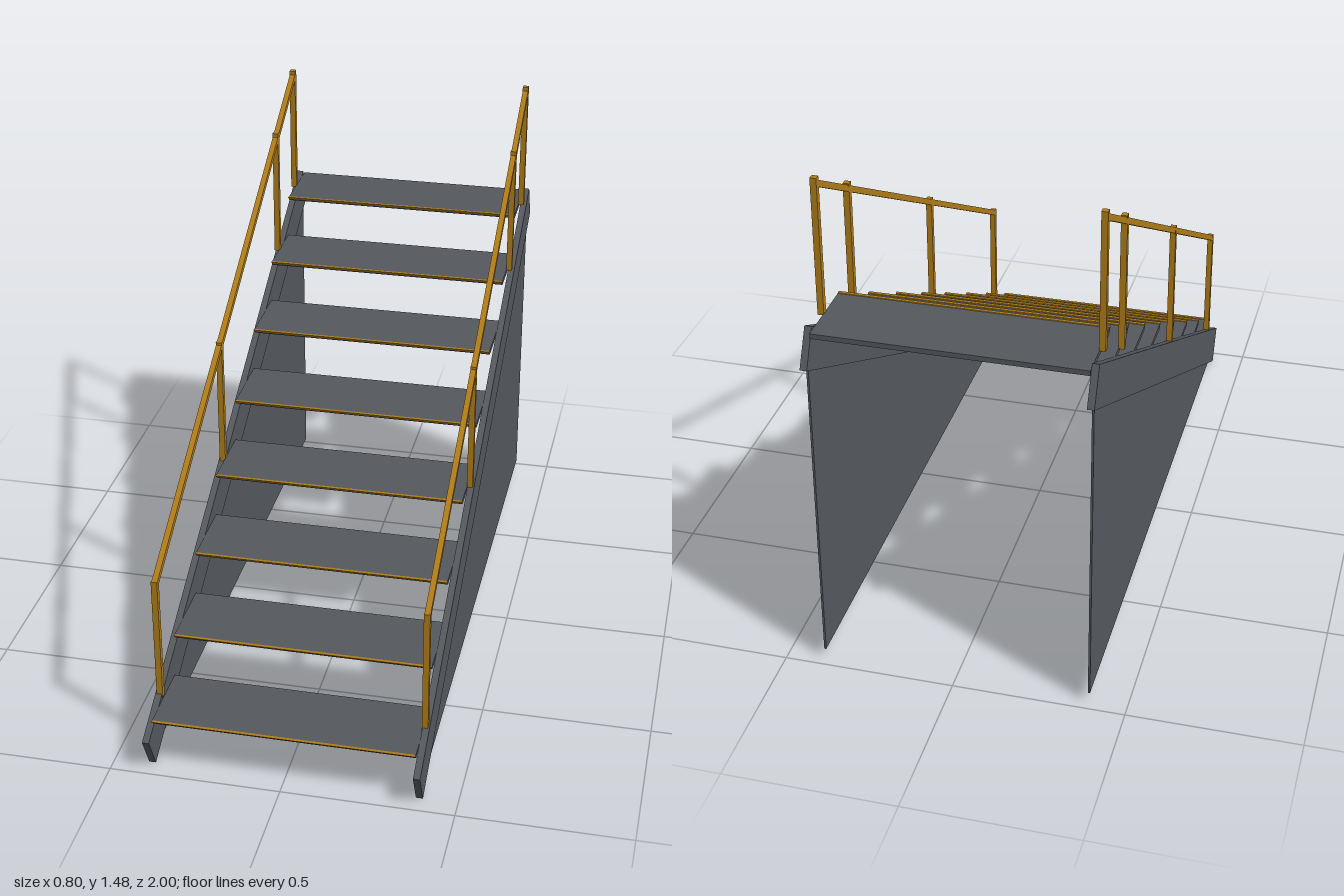
import * as THREE from 'three';

export function createModel() {
  const root = new THREE.Group();
  root.name = 'staircase';
  const steel = new THREE.MeshStandardMaterial({ color: 0x55595e });
  const yellow = new THREE.MeshStandardMaterial({ color: 0xb07d1a });

  const add = (name, geometry, material, x, y, z, parent) => {
    const mesh = new THREE.Mesh(geometry, material);
    mesh.name = name;
    mesh.position.set(x, y, z);
    parent.add(mesh);
    return mesh;
  };
  const box = (name, w, h, d, material, x, y, z, parent) =>
    add(name, new THREE.BoxGeometry(w, h, d), material, x, y, z, parent);

  // Extrudes a (z, y) outline along x, centred on x = 0
  const extrudeAcross = (points, width) => {
    const shape = new THREE.Shape(points.map(([z, y]) => new THREE.Vector2(-z, y)));
    const geometry = new THREE.ExtrudeGeometry(shape, { depth: width, bevelEnabled: false });
    return geometry.translate(0, 0, -width / 2).rotateY(Math.PI / 2);
  };

  // Treads with a bevelled front edge and a yellow nosing
  const steps = 8, run = 0.2425, rise = 0.1317, depth = 0.235, width = 0.76;
  const treadShape = [[0, 0], [-0.016, -0.015], [-depth, -0.015], [-depth, 0]];
  const nosingShape = [[0.002, 0.002], [-0.007, -0.007], [-0.012, -0.007], [-0.008, 0.002]];
  for (let i = 0; i < steps; i++) {
    const step = new THREE.Group();
    step.name = 'step' + (i + 1);
    step.position.set(0, 0.162 + i * rise, 0.968 - i * run);
    add('tread', extrudeAcross(treadShape, width), steel, 0, 0, 0, step);
    add('nosing', extrudeAcross(nosingShape, width), yellow, 0, 0, 0, step);
    root.add(step);
  }

  // Each side: sloping stringer, thin infill panel, posts and handrail
  const slope = Math.atan2(0.985, 1.945);
  const posts = [[0.85, 0.17, 0.562], [0.125, 0.545, 0.957], [-0.605, 0.948, 1.357], [-0.847, 1.08, 1.487]];
  const panelShape = [[0.89, 0.035], [-0.97, 0.035], [-0.97, 1.0], [0.89, 0.06]];
  for (const [name, s] of [['left', 1], ['right', -1]]) {
    const side = new THREE.Group();
    side.name = name + 'Side';
    box('stringer', 0.02, 0.12, 2.18, steel, s * 0.39, 0.55, 0, side).rotation.x = slope;
    add('sidePanel', extrudeAcross(panelShape, 0.006), steel, s * 0.39, 0, 0, side);

    for (const [z, bottom, top] of posts)
      box('post', 0.018, top - bottom, 0.018, yellow, s * 0.387, (bottom + top) / 2, z, side);

    const [z0, y0, z1, y1] = [0.852, 0.55, -0.85, 1.471];
    const rail = box('handrail', 0.017, 0.018, Math.hypot(z1 - z0, y1 - y0), yellow,
      s * 0.387, (y0 + y1) / 2, (z0 + z1) / 2, side);
    rail.rotation.x = Math.atan2(y1 - y0, z0 - z1);
    root.add(side);
  }
  return root;
}
